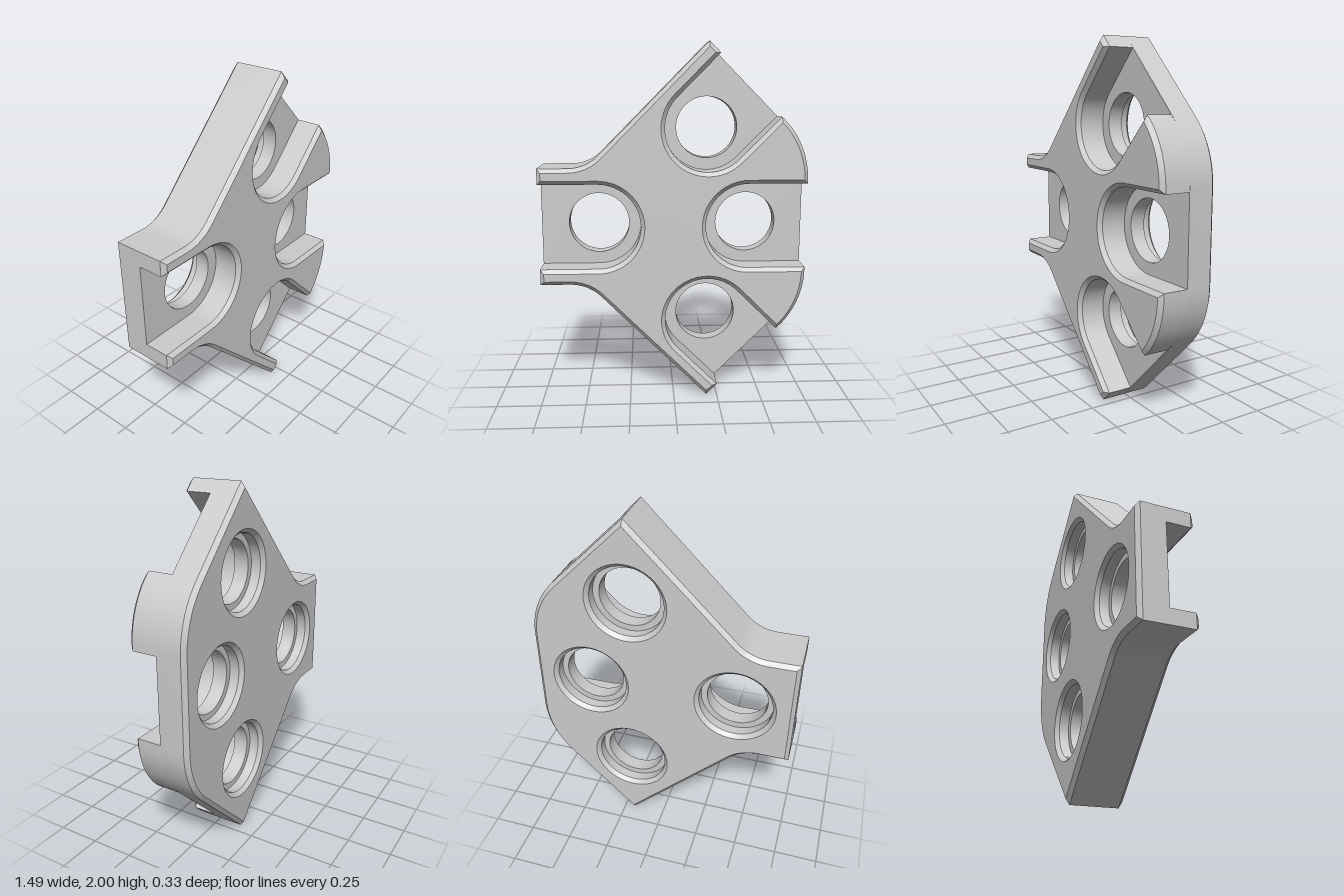
import * as THREE from 'three';
import { toCreasedNormals } from 'three/addons/utils/BufferGeometryUtils.js';

const D = Math.PI / 180;
const BACK = -0.163, FRONT = 0.163, BEVEL = 0.022;
const material = new THREE.MeshStandardMaterial({ color: 0xcccccc });

const P = (x, y) => new THREE.Vector2(x, y);

// Arc points, angles in degrees, both ends included
function arc(cx, cy, r, from, to, n) {
  return Array.from({ length: n + 1 }, (_, i) => {
    const a = (from + ((to - from) * i) / n) * D;
    return P(cx + r * Math.cos(a), cy + r * Math.sin(a));
  });
}

// Mirror a run of points about y = 1, keeping the winding
const mirror = (pts) => pts.map((p) => P(p.x, 2 - p.y)).reverse();

// Move a counter-clockwise loop inwards with mitred corners
function inset(pts, d) {
  const n = pts.length;
  return pts.map((p, i) => {
    const a = p.clone().sub(pts[(i + n - 1) % n]).normalize();
    const b = pts[(i + 1) % n].clone().sub(p).normalize();
    const na = P(-a.y, a.x), nb = P(-b.y, b.x);
    return na.clone().add(nb).multiplyScalar(d / (1 + na.dot(nb))).add(p);
  });
}

// Skin between stacked loops of equal length, ordered by rising z
function skin(loops) {
  const pos = [];
  for (let k = 0; k < loops.length - 1; k++) {
    const [lo, z0] = loops[k], [hi, z1] = loops[k + 1];
    for (let i = 0; i < lo.length; i++) {
      const j = (i + 1) % lo.length;
      const a = [lo[i].x, lo[i].y, z0], b = [lo[j].x, lo[j].y, z0];
      const c = [hi[j].x, hi[j].y, z1], d = [hi[i].x, hi[i].y, z1];
      pos.push(...a, ...b, ...c, ...a, ...c, ...d);
    }
  }
  const g = new THREE.BufferGeometry();
  g.setAttribute('position', new THREE.Float32BufferAttribute(pos, 3));
  return toCreasedNormals(g, 30 * D);
}

// Flat face with optional holes, facing +z or -z
function cap(pts, holes, z, facesBack = false) {
  const shape = new THREE.Shape(pts);
  shape.holes = holes.map((h) => new THREE.Path(h));
  const g = new THREE.ShapeGeometry(shape);
  if (facesBack) g.index.array.reverse();
  g.translate(0, 0, z);
  g.computeVertexNormals();
  return g;
}

// U-shaped recess: half round at the centre, open towards dir
function slot({ x, y, dir }) {
  const pts = arc(x, y, 0.238, dir - 90, dir - 270, 32);
  const out = P(Math.cos(dir * D), Math.sin(dir * D)).multiplyScalar(0.325);
  return [pts[0].clone().add(out), ...pts, pts[pts.length - 1].clone().add(out)];
}

const circle = (s, r) => arc(s.x, s.y, r, 360, 0, 48).slice(0, -1);

export function createModel() {
  const group = new THREE.Group();
  const add = (name, geometry) => {
    const mesh = new THREE.Mesh(geometry, material);
    mesh.name = name;
    group.add(mesh);
  };

  const right = { name: 'right', x: 0.417, y: 1, dir: 0 };
  const top = { name: 'top', x: 0.19, y: 1.54, dir: 45 };
  const left = { name: 'left', x: -0.42, y: 1, dir: 180 };
  const bottom = { name: 'bottom', x: 0.19, y: 0.46, dir: -45 };
  const sockets = [right, top, left, bottom];

  // Upper outline: rounded shoulder, then tip, fillet and end tab
  const shoulder = arc(0.264, 1.252, 0.478, 0, 45, 12);
  const flank = [P(0.19, 2), ...arc(-0.58, 1.566, 0.24, -45, -90, 12), P(-0.745, 1.326)];
  const outline = [...shoulder, ...flank, ...mirror(flank), ...mirror(shoulder)];

  // Raised front outline, cut by the four recesses
  const brow = shoulder.slice(1, -1);
  const raised = [
    ...slot(right), ...brow, ...slot(top), ...flank, ...slot(left),
    ...mirror(flank), ...slot(bottom), ...mirror(brow),
  ];

  // Back plate with a chamfered rim
  const backFace = inset(outline, BEVEL);
  add('backPlateSides', skin([[backFace, BACK], [outline, BACK + BEVEL], [outline, 0]]));
  add('backFace', cap(backFace, sockets.map((s) => circle(s, 0.228)), BACK, true));

  // Raised front walls with a chamfered edge
  const frontFace = inset(raised, BEVEL);
  add('frontWalls', skin([[raised, 0], [raised, FRONT - BEVEL], [frontFace, FRONT]]));
  add('frontFace', cap(frontFace, [], FRONT));

  // Recess floors and stepped through holes
  for (const s of sockets) {
    add(s.name + 'RecessFloor', cap(slot(s), [circle(s, 0.171)], 0));
    add(s.name + 'SteppedHole', skin([
      [circle(s, 0.228), BACK], [circle(s, 0.206), BACK + BEVEL],
      [circle(s, 0.206), -0.085], [circle(s, 0.171), -0.085], [circle(s, 0.171), 0],
    ]));
  }
  return group;
}
